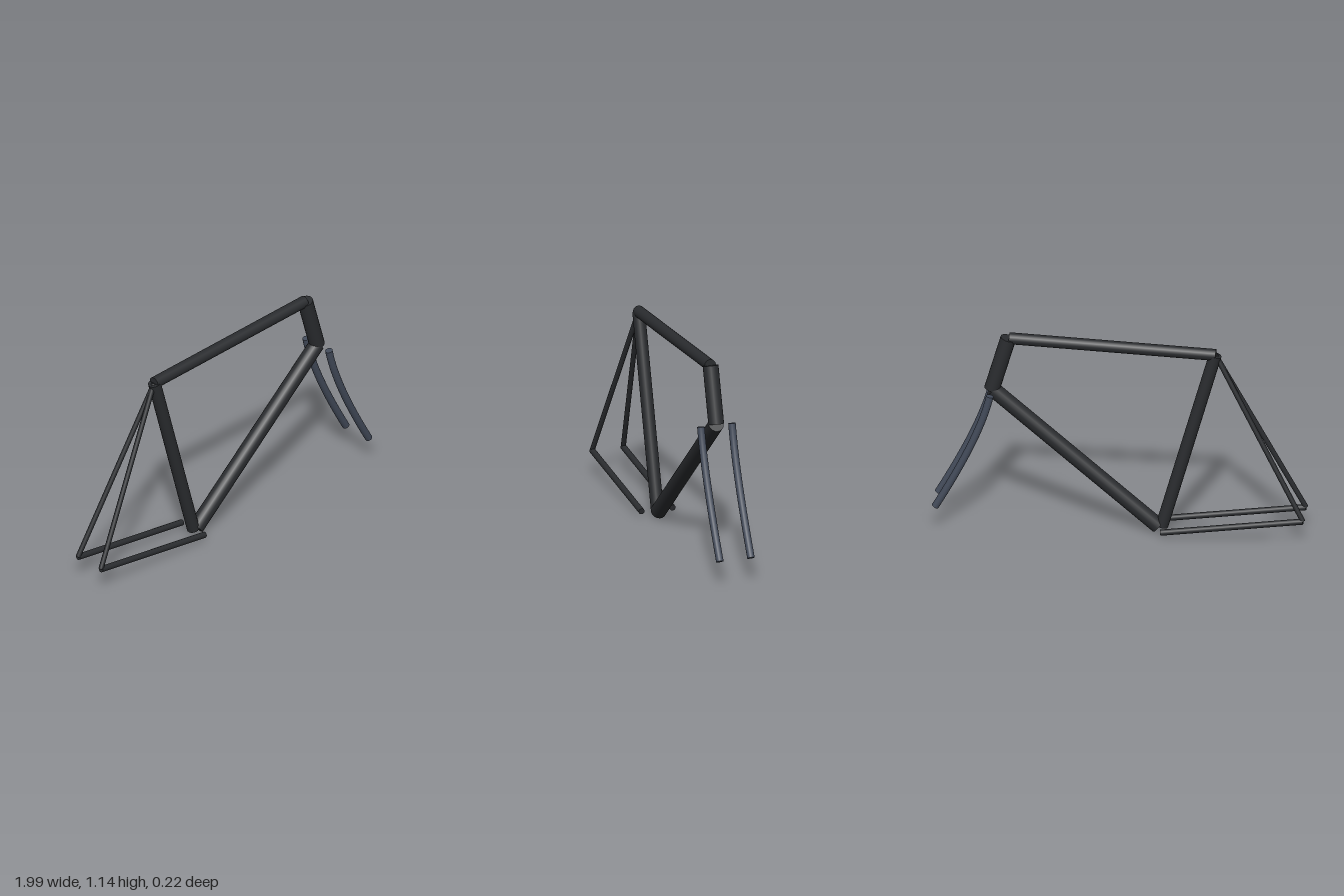
import * as THREE from 'three';

const frameMat = new THREE.MeshStandardMaterial({ color: 0x2a2c2f });
const forkMat = new THREE.MeshStandardMaterial({ color: 0x434b5a });
const UP = new THREE.Vector3(0, 1, 0);

// Straight capped tube between two points
function strut(name, from, to, radius) {
  const a = new THREE.Vector3(...from);
  const b = new THREE.Vector3(...to);
  const dir = b.clone().sub(a);
  const mesh = new THREE.Mesh(new THREE.CylinderGeometry(radius, radius, dir.length(), 20), frameMat);
  mesh.name = name;
  mesh.position.copy(a).add(b).multiplyScalar(0.5);
  mesh.quaternion.setFromUnitVectors(UP, dir.normalize());
  return mesh;
}

// Curved fork blade with closed ends
function forkBlade(name, z) {
  const radius = 0.02;
  const curve = new THREE.QuadraticBezierCurve3(
    new THREE.Vector3(0.685, 0.8, z),
    new THREE.Vector3(0.737, 0.556, z),
    new THREE.Vector3(0.977, 0.137, z)
  );
  const blade = new THREE.Group();
  blade.name = name;
  const tube = new THREE.Mesh(new THREE.TubeGeometry(curve, 24, radius, 16), forkMat);
  tube.name = name + 'Tube';
  blade.add(tube);
  for (const t of [0, 1]) {
    const cap = new THREE.Mesh(new THREE.CircleGeometry(radius, 16), forkMat);
    cap.name = name + (t ? 'LowerCap' : 'UpperCap');
    cap.position.copy(curve.getPoint(t));
    const outward = curve.getTangent(t).multiplyScalar(t ? 1 : -1);
    cap.quaternion.setFromUnitVectors(new THREE.Vector3(0, 0, 1), outward);
    blade.add(cap);
  }
  return blade;
}

export function createModel() {
  const model = new THREE.Group();
  model.name = 'bicycleFrame';

  // Main triangle
  model.add(
    strut('topTube', [-0.513, 1.056, 0], [0.59, 1.105, 0], 0.032),
    strut('seatTube', [-0.51, 1.055, 0], [-0.225, 0.035, 0], 0.034),
    strut('downTube', [-0.205, 0.033, 0], [0.68, 0.803, 0], 0.042),
    strut('headTube', [0.595, 1.105, 0], [0.682, 0.803, 0], 0.042)
  );

  // Rear stays and fork blades, mirrored across the frame plane
  for (const [side, z] of [['Front', 0.088], ['Back', -0.088]]) {
    model.add(
      strut('chainStay' + side, [-0.985, 0.135, z], [-0.225, 0.035, z], 0.0165),
      strut('seatStay' + side, [-0.985, 0.137, z], [-0.513, 1.053, 0], 0.0135),
      forkBlade('forkBlade' + side, z)
    );
  }
  return model;
}
